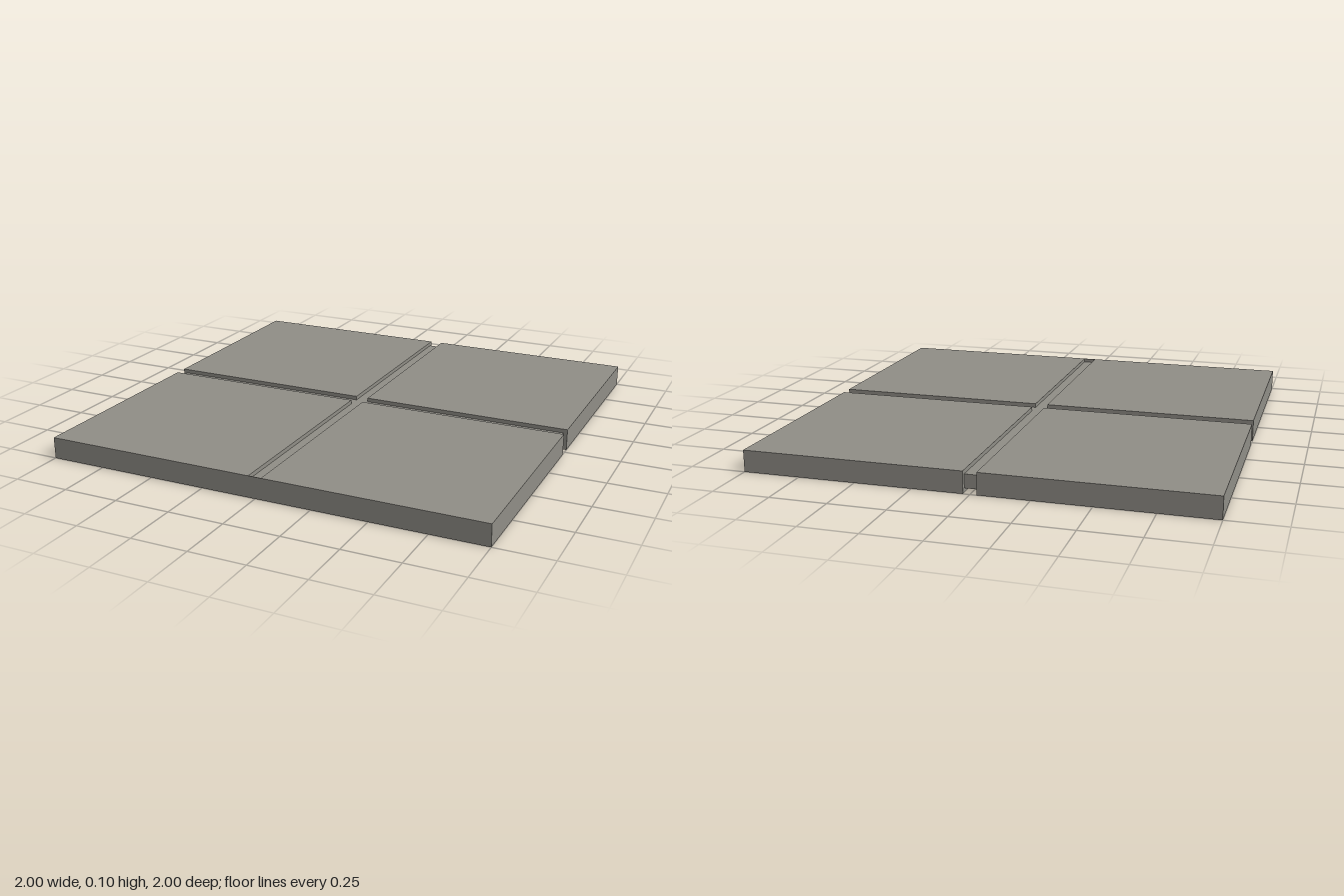
import * as THREE from 'three';

export function createModel() {
  const model = new THREE.Group();
  model.name = 'floorTile';
  const stone = new THREE.MeshStandardMaterial({ color: 0x8f8d86 });
  stone.name = 'warm grey stone';

  const height = 0.096, gap = 0.058, inset = 0.018;
  const wall = 0.003;

  // Box given by its lower and upper corners
  function block(name, [x0, y0, z0], [x1, y1, z1]) {
    const geometry = new THREE.BoxGeometry(x1 - x0, y1 - y0, z1 - z0);
    const mesh = new THREE.Mesh(geometry, stone);
    mesh.position.set((x0 + x1) / 2, (y0 + y1) / 2, (z0 + z1) / 2);
    mesh.name = name;
    model.add(mesh);
  }

  // Four square slabs separated by a cross-shaped gap
  for (const sx of [-1, 1]) {
    for (const sz of [-1, 1]) {
      const [xa, xb] = [sx * gap / 2, sx].sort((a, b) => a - b);
      const [za, zb] = [sz * gap / 2, sz].sort((a, b) => a - b);
      const name = (sz > 0 ? 'front' : 'back') + (sx > 0 ? 'Left' : 'Right') + 'Slab';
      block(name, [xa, 0, za], [xb, height, zb]);
    }
  }

  // Recessed joint: one strip along z, two side arms along x
  const low = inset, high = height - inset, end = 1 - inset, g = gap / 2;
  block('longJoint', [-g, low, -end], [g, high, 1 - wall]);
  block('leftJoint', [g, low, -g], [end, high, g]);
  block('rightJoint', [-end, low, -g], [-g, high, g]);

  // Thin plate closing the joint flush with the front edge
  block('frontJointCover', [-g, 0, 1 - wall], [g, height, 1]);

  return model;
}
